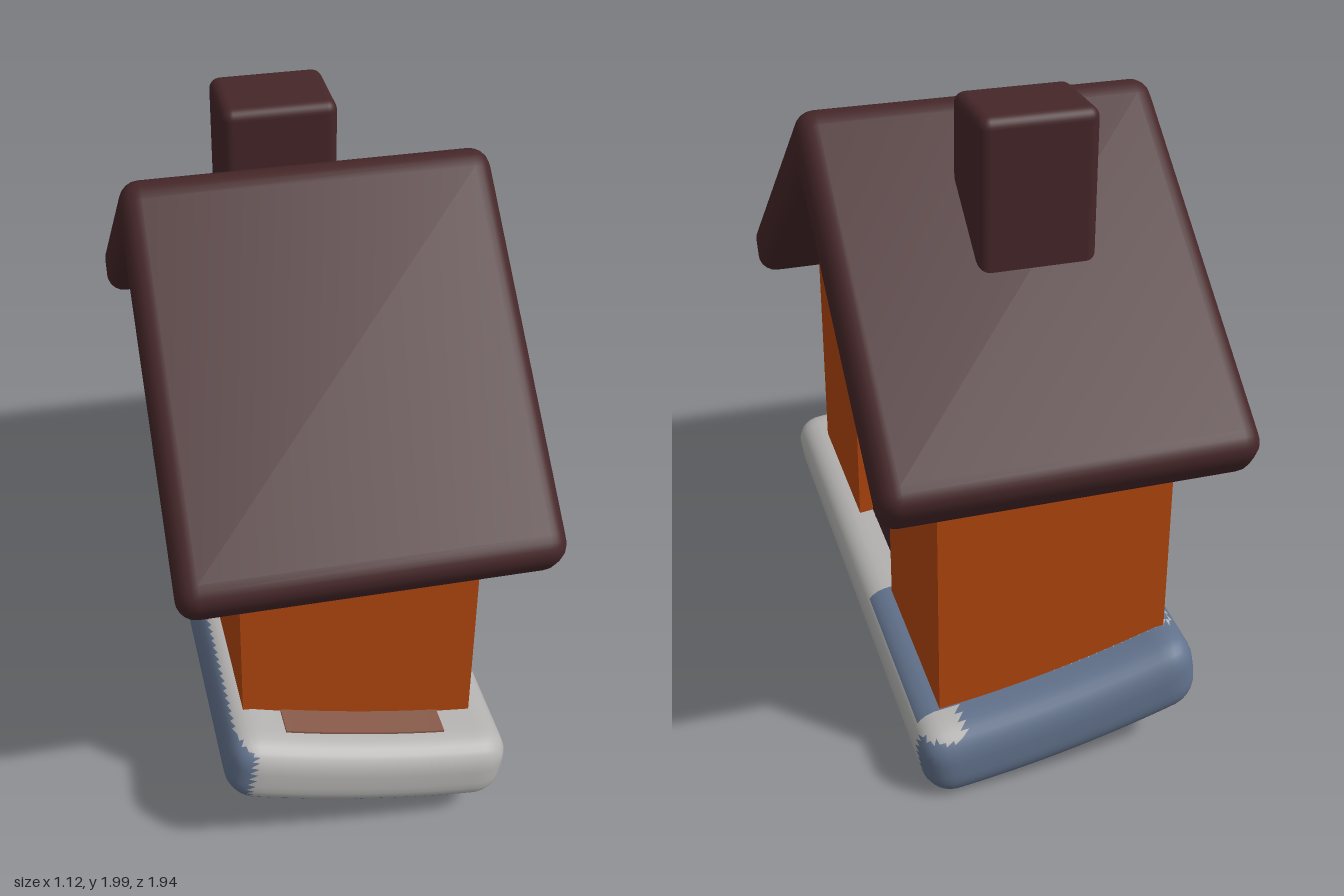
import * as THREE from 'three';
import { mergeVertices, toCreasedNormals } from 'three/addons/utils/BufferGeometryUtils.js';
import { RoundedBoxGeometry } from 'three/addons/geometries/RoundedBoxGeometry.js';

const material = (name, color) => {
  const m = new THREE.MeshStandardMaterial({ color });
  m.name = name;
  return m;
};

// Height of the tilted, slightly sagging base top
const baseTop = (x, z) => 0.355 - 0.215 * x + 0.055 * z + 0.03 * (x / 0.45) ** 2;
const BASE_HEIGHT = 0.24;

// Applies the base's tilt to a geometry modelled flat around the origin
function tiltToBase(geo) {
  const p = geo.attributes.position;
  for (let i = 0; i < p.count; i++) {
    const x = p.getX(i), y = p.getY(i), z = p.getZ(i);
    p.setXYZ(i, x + 0.17 * y, y + baseTop(x, z) - BASE_HEIGHT / 2, z + 0.025);
  }
  geo.computeVertexNormals();
  return geo;
}

// Polygon with rounded corners; points are [z, y]
function roundedPath(points, r, Type = THREE.Shape) {
  const path = new Type();
  const pts = points.map(([a, b]) => new THREE.Vector2(a, b));
  pts.forEach((p, i) => {
    const toward = (q) => p.clone().add(q.clone().sub(p).setLength(r));
    const a = toward(pts[(i + pts.length - 1) % pts.length]);
    const b = toward(pts[(i + 1) % pts.length]);
    if (i === 0) path.moveTo(a.x, a.y);
    else path.lineTo(a.x, a.y);
    path.quadraticCurveTo(p.x, p.y, b.x, b.y);
  });
  path.closePath();
  return path;
}

const rect = (z0, z1, y0, y1) => [[z0, y0], [z1, y0], [z1, y1], [z0, y1]];

// Extrudes a [z, y] outline from x0 to x1
function extrudeX(shape, x0, x1, bevel = 0) {
  const geo = new THREE.ExtrudeGeometry(shape, {
    depth: x1 - x0 - 2 * bevel, curveSegments: 6,
    bevelEnabled: bevel > 0, bevelSize: bevel, bevelThickness: bevel,
    bevelOffset: -bevel, bevelSegments: 5,
  });
  geo.rotateY(-Math.PI / 2);
  geo.translate(x1 - bevel, 0, 0);
  return toCreasedNormals(geo, 0.7);
}

// Lowers the foot of a wall into the tilted base
function footToBase(geo) {
  const p = geo.attributes.position;
  for (let i = 0; i < p.count; i++) {
    if (p.getY(i) < 0.5) p.setY(i, baseTop(p.getX(i), p.getZ(i)) - 0.08);
  }
  geo.computeVertexNormals();
  return geo;
}

// Rounded slab, split into pale and blue faces
function baseGeometry() {
  const half = [0.44, BASE_HEIGHT / 2, 0.945], r = 0.09;
  let geo = new THREE.BoxGeometry(0.88, BASE_HEIGHT, 1.89, 32, 10, 56);
  geo.deleteAttribute('uv');
  geo.deleteAttribute('normal');
  geo = mergeVertices(geo);
  const p = geo.attributes.position;
  const v = new THREE.Vector3(), inner = new THREE.Vector3();
  const info = [];
  for (let i = 0; i < p.count; i++) {
    v.fromBufferAttribute(p, i);
    inner.fromArray(v.toArray().map((c, k) => THREE.MathUtils.clamp(c, r - half[k], half[k] - r)));
    const n = v.clone().sub(inner).normalize();
    v.copy(inner).addScaledVector(n, r);
    p.setXYZ(i, v.x, v.y, v.z);
    info.push({ x: v.x, z: v.z, n });
  }
  const isBlue = ({ x, z, n }) => n.y < -0.6 ||
    (n.y < 0.7 ? z < -0.85 || x < -0.375 : z < -0.78 && x < 0.3);
  const pale = [], blue = [], idx = geo.index.array;
  for (let i = 0; i < idx.length; i += 3) {
    const tri = [idx[i], idx[i + 1], idx[i + 2]];
    const votes = tri.filter((k) => isBlue(info[k])).length;
    (votes > 1 ? blue : pale).push(...tri);
  }
  geo.setIndex([...pale, ...blue]);
  geo.addGroup(0, pale.length, 0);
  geo.addGroup(pale.length, blue.length, 1);
  return tiltToBase(geo);
}

export function createModel() {
  const house = new THREE.Group();
  house.name = 'house';
  const brown = material('dark brown', 0x452628);
  const orange = material('orange', 0xb0450e);
  const yellow = material('pale yellow', 0xd4ca88);
  const grey = material('light grey', 0xb4b3b2);
  const blue = material('slate blue', 0x62728c);
  const stain = material('dusty brown', 0x875a4a);

  const add = (name, geo, mat) => {
    const mesh = new THREE.Mesh(geo, mat);
    mesh.name = name;
    house.add(mesh);
    return mesh;
  };

  // Base slab and the worn patch before the front wall
  add('base', baseGeometry(), [grey, blue]);
  const patch = new THREE.BoxGeometry(0.5, 0.008, 0.12, 10, 1, 2);
  patch.translate(-0.02, BASE_HEIGHT / 2 + 0.002, 0.79);
  add('basePatch', tiltToBase(patch), stain);

  // Walls: a solid core and an outer layer with the doorway cut out
  const gable = [[0.78, 1.15], [0, 1.76], [-0.78, 1.15]];
  const outline = (points) => new THREE.Shape(points.map(([z, y]) => new THREE.Vector2(z, y)));
  add('walls', footToBase(extrudeX(outline([[-0.78, 0.2], [0.78, 0.2], ...gable]), -0.365, 0.3)), orange);
  add('doorWall', footToBase(extrudeX(outline([
    [-0.78, 0.2], [-0.2, 0.2], [-0.2, 0.74], [0.25, 0.74], [0.25, 0.2], [0.78, 0.2], ...gable,
  ]), 0.3, 0.358)), orange);

  // Door and lintel
  add('door', new THREE.BoxGeometry(0.01, 0.54, 0.45).translate(0.306, 0.47, 0.025), brown);
  add('lintel', new RoundedBoxGeometry(0.06, 0.05, 0.45, 3, 0.015).translate(0.33, 0.723, 0.025), brown);

  // Roof
  const roof = [[0, 1.925], [0.99, 1.13], [0.89, 0.985], [0, 1.69], [-0.89, 0.985], [-0.99, 1.13]];
  add('roof', extrudeX(roundedPath(roof, 0.07), -0.56, 0.56, 0.06), brown);

  // Chimney
  add('chimney', new RoundedBoxGeometry(0.36, 0.6, 0.28, 4, 0.035).translate(-0.04, 1.7, -0.34), brown);

  // Window surround
  add('windowSurround', extrudeX(roundedPath(rect(-0.29, 0.37, 0.89, 1.335), 0.04), 0.34, 0.364, 0.01), orange);

  // Four window panes: outer rectangle, then inner recess (z0, z1, y0, y1)
  const windows = [
    [[0.04, 0.34], [1.135, 1.33], [0.115, 0.315], [1.165, 1.285]],
    [[-0.27, -0.02], [1.13, 1.33], [-0.23, -0.09], [1.165, 1.285]],
    [[0.035, 0.345], [0.9, 1.105], [0.11, 0.315], [0.94, 1.08]],
    [[-0.27, -0.02], [0.9, 1.105], [-0.24, -0.095], [0.95, 1.075]],
  ];
  for (const [z, y, iz, iy] of windows) {
    const frame = roundedPath(rect(...z, ...y), 0.03);
    frame.holes.push(roundedPath(rect(...iz, ...iy), 0.015, THREE.Path));
    add('windowFrame', extrudeX(frame, 0.345, 0.382, 0.01), yellow);
    const pane = new THREE.BoxGeometry(0.008, iy[1] - iy[0] + 0.02, iz[1] - iz[0] + 0.02);
    add('windowPane', pane.translate(0.363, (iy[0] + iy[1]) / 2, (iz[0] + iz[1]) / 2), yellow);
  }
  return house;
}
